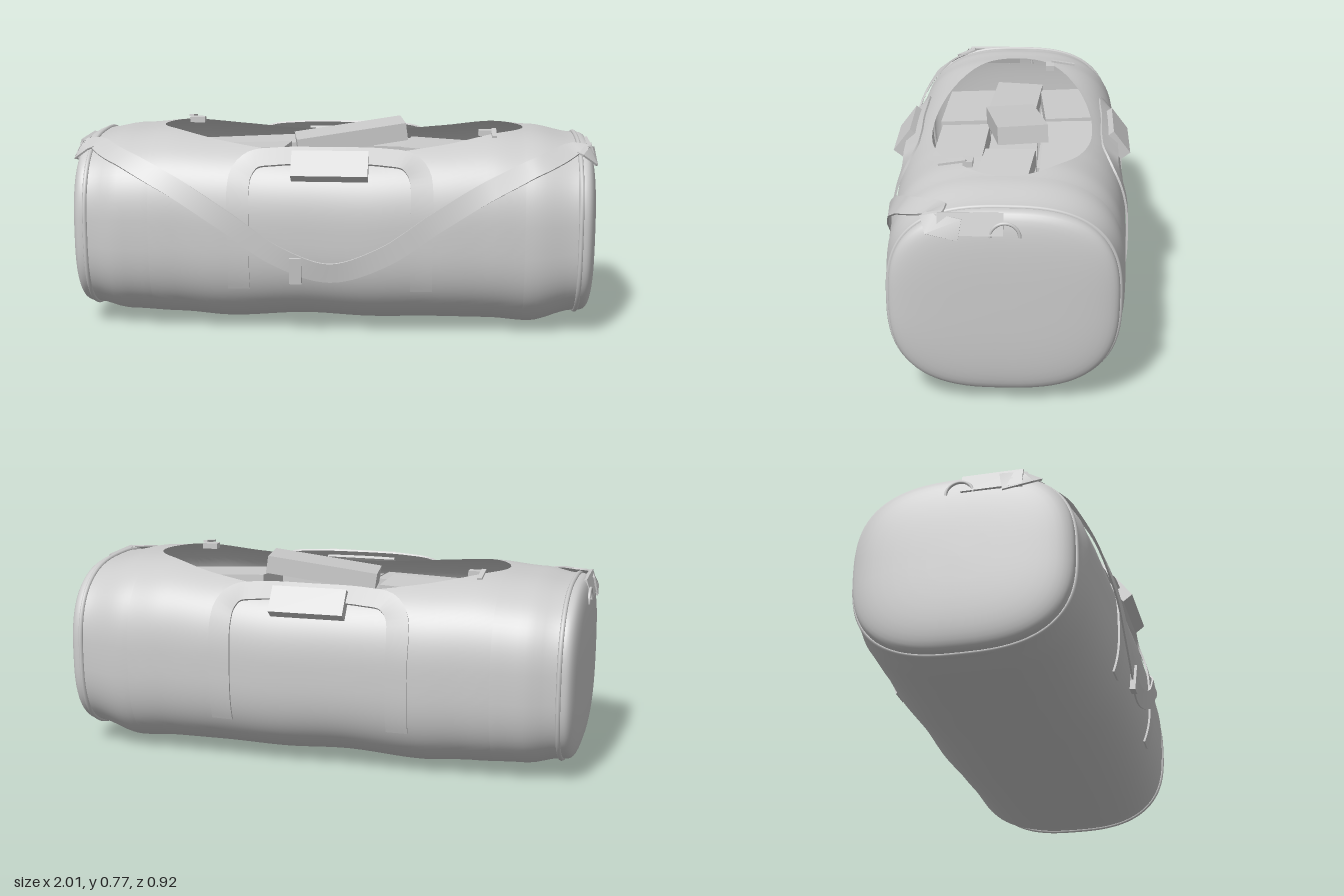
import * as THREE from 'three';
import { mergeVertices, toCreasedNormals } from 'three/addons/utils/BufferGeometryUtils.js';

const V = (x, y, z) => new THREE.Vector3(x, y, z);
const material = new THREE.MeshStandardMaterial({ color: 0xcccccc, side: THREE.DoubleSide });
const POWER = 2.75; // roundness of the rounded-square section
const SEAM = 0.93; // where the end caps begin

// Sagging cloth profile: x, half width, top, bottom
const profile = [
  [-0.93, 0.395, 0.715, 0.045], [-0.8, 0.42, 0.735, 0.02], [-0.6, 0.425, 0.75, 0.012],
  [-0.4, 0.432, 0.745, 0], [-0.1, 0.436, 0.738, 0.018], [0.15, 0.44, 0.735, 0.008],
  [0.4, 0.432, 0.745, 0.012], [0.6, 0.425, 0.755, 0.01], [0.75, 0.42, 0.745, 0], [0.93, 0.395, 0.715, 0.045],
];

// Half width, half height and centre height of the section at x
function section(x) {
  const cx = THREE.MathUtils.clamp(x, -SEAM, SEAM);
  let i = 0;
  while (i < profile.length - 2 && cx > profile[i + 1][0]) i++;
  const [a, b] = [profile[i], profile[i + 1]];
  const k = THREE.MathUtils.smoothstep(cx, a[0], b[0]);
  const [w, top, bottom] = [1, 2, 3].map((n) => a[n] + (b[n] - a[n]) * k);
  const d = Math.min(1, Math.max(0, (Math.abs(x) - SEAM) / (1 - SEAM)));
  const s = Math.cbrt(1 - d ** 4); // rounded end cap
  return { w: w * s, h: ((top - bottom) / 2) * s, c: (top + bottom) / 2 };
}

const bend = (v) => Math.sign(v) * Math.abs(v) ** (2 / POWER);

// Point on the bag; t is the angle from the top towards the front
function surface(x, t) {
  const { w, h, c } = section(x);
  return V(x, c + h * bend(Math.cos(t)), w * bend(Math.sin(t)));
}

function angleAt(x, y) {
  const { h, c } = section(x);
  const r = THREE.MathUtils.clamp((y - c) / h, -0.995, 0.995);
  return Math.acos(Math.sign(r) * Math.abs(r) ** (POWER / 2));
}

function normalAt(x, t) {
  const e = 0.01;
  const dt = surface(x, t + e).sub(surface(x, t - e));
  const dx = surface(Math.min(x + e, 0.999), t).sub(surface(Math.max(x - e, -0.999), t));
  return dt.cross(dx).normalize();
}

// Skin over rows of points
function skin(rows) {
  const n = rows[0].length;
  const index = [];
  for (let i = 0; i < rows.length - 1; i++) {
    for (let j = 0; j < n - 1; j++) {
      const a = i * n + j;
      index.push(a, a + 1, a + n, a + 1, a + n + 1, a + n);
    }
  }
  const geo = new THREE.BufferGeometry().setFromPoints(rows.flat());
  geo.setIndex(index);
  return geo;
}

function add(parent, name, geo, position = [0, 0, 0], rotation = [0, 0, 0]) {
  const mesh = new THREE.Mesh(geo, material);
  mesh.name = name;
  mesh.position.set(...position);
  mesh.rotation.set(...rotation);
  parent.add(mesh);
  return mesh;
}

// Webbing laid on the bag through points of [x, y, lift]; side is 1 for front, -1 for back
function webbing(points, width, thick, side, segments) {
  const curve = new THREE.CatmullRomCurve3(points.map((p) => V(...p)), false, 'centripetal');
  const normals = [];
  const path = curve.getSpacedPoints(segments).map((p) => {
    const t = angleAt(p.x, p.y) * side;
    const n = normalAt(p.x, t);
    normals.push(n);
    return surface(p.x, t).addScaledVector(n, p.z);
  });
  const rows = path.map((p, i) => {
    const along = path[Math.min(i + 1, segments)].clone().sub(path[Math.max(i - 1, 0)]).normalize();
    const across = along.cross(normals[i]).normalize();
    const corner = (b, n) => p.clone().addScaledVector(across, (b * width) / 2).addScaledVector(normals[i], n * thick);
    return [corner(-1, 1), corner(1, 1), corner(1, 0), corner(-1, 0), corner(-1, 1)];
  });
  // close both ends
  rows.unshift(rows[0].map(() => path[0].clone()));
  rows.push(rows[1].map(() => path[segments].clone()));
  return toCreasedNormals(skin(rows), 0.7);
}

// Bag skin with an oval opening in the top
function bagGeometry() {
  const [from, to, halfZ] = [-0.685, 0.725, 0.31];
  const mid = (from + to) / 2, half = (to - from) / 2;
  const xs = [];
  for (let i = 0; i <= 14; i++) xs.push(-SEAM - (1 - SEAM) * Math.cos((i / 14) * Math.PI / 2));
  for (let i = 1; i < 8; i++) xs.push(-SEAM + ((from + SEAM) * i) / 8);
  for (let i = 0; i <= 48; i++) xs.push(mid - half * Math.cos((i / 48) * Math.PI));
  for (let i = 1; i < 8; i++) xs.push(to + ((SEAM - to) * i) / 8);
  for (let i = 0; i <= 14; i++) xs.push(SEAM + (1 - SEAM) * Math.sin((i / 14) * Math.PI / 2));
  const rows = xs.map((x) => {
    const open = halfZ * Math.sqrt(Math.max(0, 1 - ((x - mid) / half) ** 2));
    const start = open > 1e-4 ? Math.asin((open / section(x).w) ** (POWER / 2)) : 0;
    return Array.from({ length: 81 }, (_, j) => surface(x, start + ((2 * Math.PI - 2 * start) * j) / 80));
  });
  const geo = mergeVertices(skin(rows), 1e-4);
  geo.computeVertexNormals();
  return geo;
}

export function createModel() {
  const model = new THREE.Group();
  model.name = 'duffelBag';
  add(model, 'bagBody', bagGeometry());

  // Carry handles, front and back
  for (const side of [1, -1]) {
    const handle = new THREE.Group();
    handle.name = side > 0 ? 'frontHandle' : 'backHandle';
    const leg = [[0.342, 0.185, 0.004], [0.342, 0.3, 0.004], [0.342, 0.45, 0.004], [0.342, 0.56, 0.006],
      [0.332, 0.61, 0.012], [0.295, 0.642, 0.025], [0.2, 0.65, 0.035]];
    const path = [...leg.map(([x, y, l]) => [-x, y, l]), [0, 0.65, 0.04], ...leg.slice().reverse()];
    add(handle, 'handleStrap', webbing(path, 0.082, 0.008, side, 90));
    add(handle, 'handleGrip', new THREE.BoxGeometry(0.285, 0.107, 0.045), [0, 0.65, 0.405 * side], [-0.65 * side, 0, 0]);
    model.add(handle);
  }

  // Shoulder strap draped across the front
  const drape = [[0.985, 0.655, 0.006], [0.93, 0.688, 0.01], [0.84, 0.668, 0.008], [0.6, 0.568, 0.01], [0.4, 0.452, 0.014], [0.2, 0.32, 0.014]];
  const strapPath = [...drape.map(([x, y, l]) => [-x, y, l]), [0, 0.257, 0.014], ...drape.slice().reverse()];
  add(model, 'shoulderStrap', webbing(strapPath, 0.075, 0.007, 1, 110));
  add(model, 'strapSlider', new THREE.BoxGeometry(0.045, 0.1, 0.022), [-0.125, 0.262, 0.45], [0.1, 0, 0]);

  for (const s of [-1, 1]) {
    const end = s > 0 ? 'left' : 'right';
    // Piping round the end cap
    const ring = Array.from({ length: 64 }, (_, i) => surface(SEAM * s, (i / 64) * 2 * Math.PI));
    add(model, end + 'Piping', new THREE.TubeGeometry(new THREE.CatmullRomCurve3(ring, true), 128, 0.009, 8, true));
    // Strap anchor and ring
    add(model, end + 'StrapAnchor', new THREE.BoxGeometry(0.016, 0.078, 0.22), [0.978 * s, 0.672, 0.11], [0, 0, 0.3 * s]);
    add(model, end + 'StrapRing', new THREE.TorusGeometry(0.05, 0.006, 8, 24, Math.PI), [0.99 * s, 0.63, -0.005], [0, Math.PI / 2, 0]);
    // Zip slider and pull tab
    const pull = new THREE.Group();
    pull.name = end + 'ZipPull';
    add(pull, 'zipSlider', new THREE.BoxGeometry(0.06, 0.022, 0.035), [-0.02, 0, -0.03]);
    add(pull, 'pullTab', new THREE.BoxGeometry(0.018, 0.008, 0.1), [0.008, 0.008, 0.025], [0.15, 0, 0]);
    pull.position.set(0.6 * s, 0.742, 0.17 * s);
    pull.rotation.y = s > 0 ? 0 : Math.PI;
    model.add(pull);
  }

  // Bundles filling the bag: x, y, z, turn, tilt along x, tilt along z
  const bundles = [
    [-0.36, 0.615, -0.21, 0.06, 0.04, 0.03], [0.09, 0.615, -0.215, -0.03, -0.02, 0.04], [0.49, 0.61, -0.2, -0.06, -0.05, 0],
    [-0.41, 0.625, 0, -0.06, 0.04, -0.03], [0.05, 0.7, -0.015, 0.15, 0.14, 0.02], [0.48, 0.63, 0.02, -0.1, -0.06, 0.03],
    [-0.35, 0.605, 0.19, -0.03, 0.03, 0.05], [0.1, 0.605, 0.195, -0.03, 0.01, 0.05], [0.49, 0.6, 0.185, 0.04, -0.05, 0.03],
  ];
  const fill = new THREE.Group();
  fill.name = 'bundles';
  const bundle = new THREE.BoxGeometry(0.43, 0.068, 0.19);
  for (const [x, y, z, turn, tilt, roll] of bundles) add(fill, 'bundle', bundle, [x, y, z], [roll, turn, tilt]);
  // Lower layer seen through the gaps
  for (const x of [-0.46, 0, 0.46]) {
    for (const z of [-0.2, 0, 0.2]) add(fill, 'lowerBundle', bundle, [x + z * 0.2, 0.53, z], [0, z * 0.2, 0]);
  }
  model.add(fill);
  return model;
}
